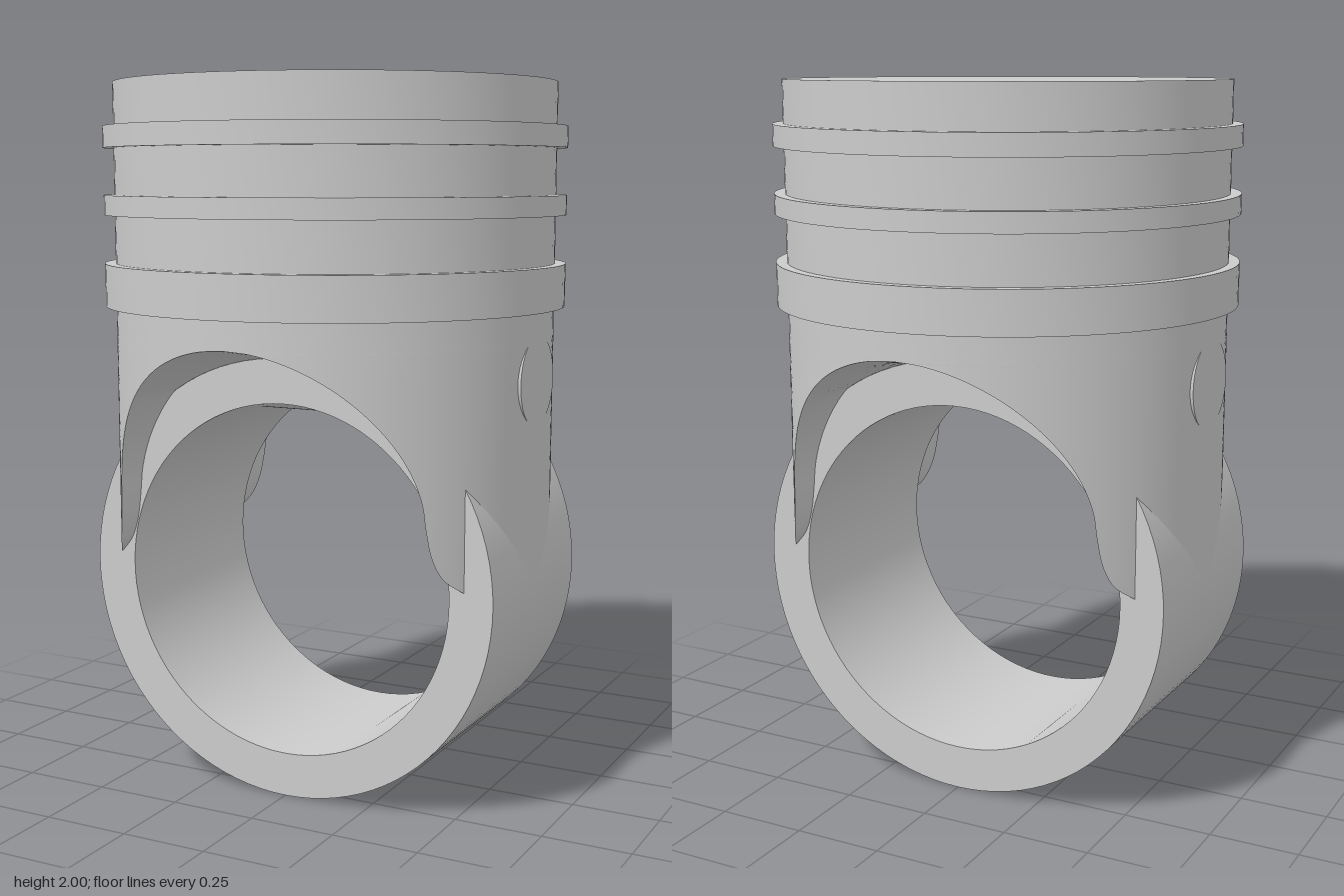
import * as THREE from 'three';
import { toCreasedNormals } from 'three/addons/utils/BufferGeometryUtils.js';

const R = 0.625;          // body and eye outer radius
const RING_R = 0.655;     // raised bands
const EYE_Y = 0.625, EYE_HALF = 0.31;

const material = new THREE.MeshStandardMaterial({ color: 0xcccccc });
const openMaterial = new THREE.MeshStandardMaterial({ color: 0xcccccc, side: THREE.DoubleSide });

function lathe(profile, segments = 96) {
  const points = profile.map(([r, y]) => new THREE.Vector2(r, y));
  return toCreasedNormals(new THREE.LatheGeometry(points, segments), 0.6);
}

// Surface joining equal-length rows of points
function loft(rows) {
  const cols = rows[0].length, index = [];
  for (let i = 0; i < rows.length - 1; i++) {
    for (let j = 0; j < cols - 1; j++) {
      const a = i * cols + j, b = a + cols;
      index.push(a, a + 1, b, b, a + 1, b + 1);
    }
  }
  const geometry = new THREE.BufferGeometry();
  geometry.setAttribute('position', new THREE.Float32BufferAttribute(rows.flat(2), 3));
  geometry.setIndex(index);
  geometry.computeVertexNormals();
  return geometry;
}

// Half of the arch outline: round top, then a flare at the foot
function archPoints() {
  const pts = [];
  for (let i = 0; i <= 10; i++) {
    const a = (i / 10) * Math.PI * 0.49;
    pts.push(new THREE.Vector3(0.475 * Math.sin(a), 0.82 + 0.48 * Math.cos(a), 0));
  }
  for (const [x, y] of [[0.486, 0.76], [0.507, 0.7], [0.543, 0.655]]) pts.push(new THREE.Vector3(x, y, 0));
  return new THREE.CatmullRomCurve3(pts).getPoints(60);
}

export function createModel() {
  const group = new THREE.Group();
  const add = (name, geometry, mat = material) => {
    const mesh = new THREE.Mesh(geometry, mat);
    mesh.name = name;
    group.add(mesh);
    return mesh;
  };

  // Crown with three raised bands
  const profile = [[R, 1.3]];
  for (const [low, high] of [[1.38, 1.5], [1.635, 1.69], [1.82, 1.88]]) {
    profile.push([R, low], [RING_R, low], [RING_R, high], [R, high]);
  }
  profile.push([R, 2], [0, 2]);
  add('crown', lathe(profile));

  // Eye: a ring lying along z
  const eye = add('eye', lathe([
    [0.5, -EYE_HALF], [R, -EYE_HALF], [R, EYE_HALF], [0.5, EYE_HALF], [0.5, -EYE_HALF],
  ]));
  eye.rotation.x = Math.PI / 2;
  eye.position.y = EYE_Y;

  // Skirt sides: cylinder wall left standing beside the arches
  const arch = archPoints();
  for (const side of [1, -1]) {
    const rows = arch.map(({ x, y }) => {
      const phi = Math.acos(x / R);
      return Array.from({ length: 49 }, (_, j) => {
        const a = phi * (1 - j / 24);
        return [side * R * Math.cos(a), y, R * Math.sin(a)];
      });
    });
    add(side > 0 ? 'leftSkirt' : 'rightSkirt', loft(rows), openMaterial);
  }

  // Arch walls: run inward from the skirt edge to the face of the eye
  const fullArch = [...arch.slice(1).reverse().map((p) => new THREE.Vector3(-p.x, p.y, 0)), ...arch];
  for (const side of [1, -1]) {
    const rows = fullArch.map(({ x, y }) => {
      const eyeTop = EYE_Y + Math.sqrt(R * R - x * x);
      return [
        [x, y, side * Math.sqrt(R * R - x * x)],
        [x, Math.min(y, eyeTop), side * EYE_HALF],
      ];
    });
    add(side > 0 ? 'frontArch' : 'backArch', loft(rows), openMaterial);
  }

  // Cross pin with flat ends
  const pin = add('pin', new THREE.CylinderGeometry(0.125, 0.125, 1.242, 48));
  pin.rotation.z = Math.PI / 2;
  pin.position.y = 1.19;

  return group;
}
